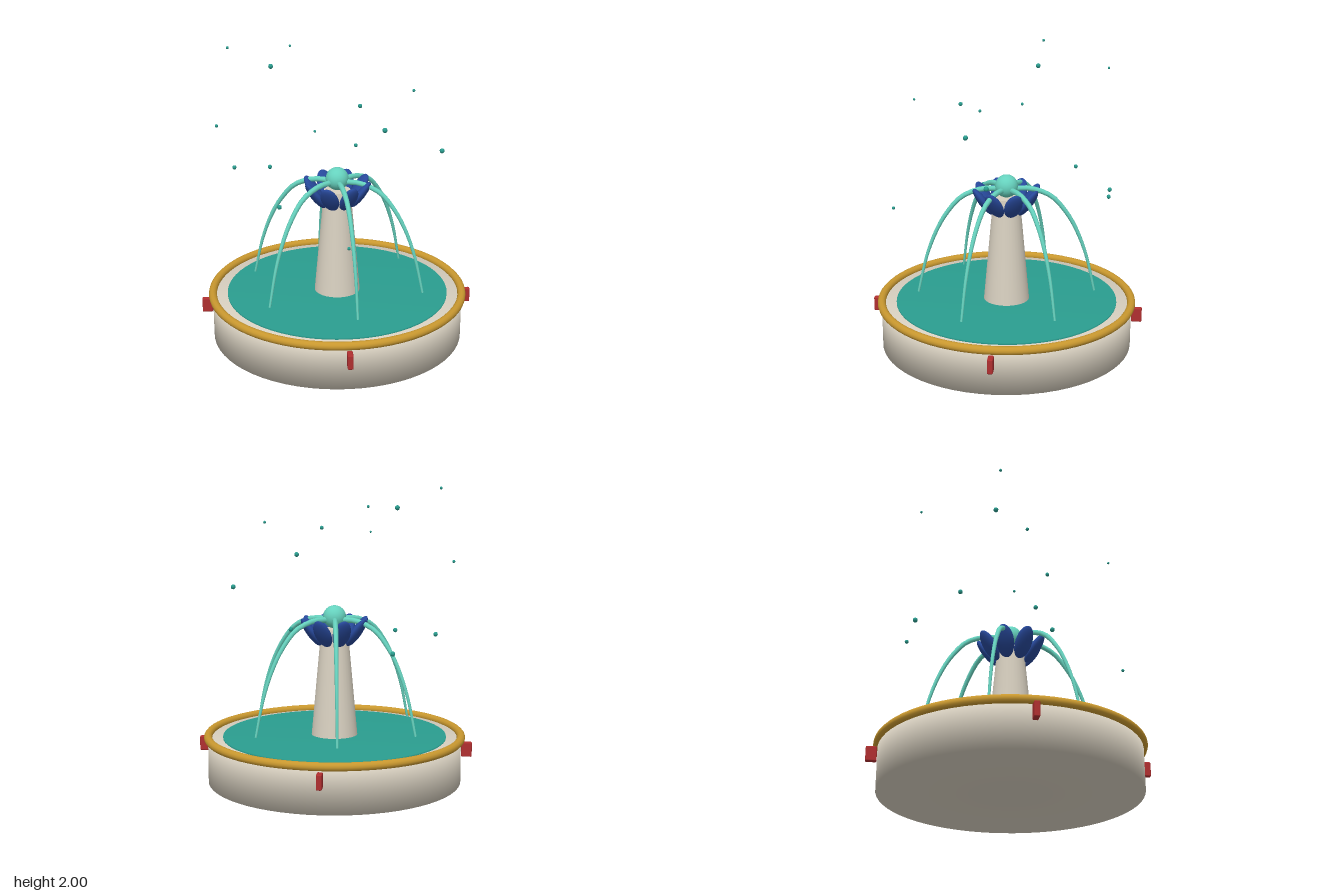
import * as THREE from 'three';
import { RoundedBoxGeometry } from 'three/addons/geometries/RoundedBoxGeometry.js';

const material = (name, color) => {
  const m = new THREE.MeshStandardMaterial({ color });
  m.name = name;
  return m;
};

export function createModel() {
  const stone = material('stone', 0xd8d0c0);
  const gold = material('gold', 0xc9982f);
  const water = material('water', 0x2a9d8f);
  const spray = material('spray', 0x66d2be);
  const blue = material('petal blue', 0x27489a);
  const red = material('red', 0xb02f30);

  const model = new THREE.Group();
  model.name = 'fountain';
  const add = (name, geometry, mat, parent = model) => {
    const mesh = new THREE.Mesh(geometry, mat);
    mesh.name = name;
    parent.add(mesh);
    return mesh;
  };
  const lathe = (points, segments = 64) =>
    new THREE.LatheGeometry(points.map(([x, y]) => new THREE.Vector2(x, y)), segments);
  // A group turned so that its +x points outward at the given angle
  const spoke = (name, angle) => {
    const g = new THREE.Group();
    g.name = name;
    g.rotation.y = -angle;
    model.add(g);
    return g;
  };

  // Basin, softly shaded across its edges
  add('basin', lathe([[0, 0], [0.862, 0], [0.862, 0.3], [0, 0.3]]), stone);
  add('waterSurface', lathe([[0, 0.28], [0.76, 0.28], [0.76, 0.312], [0, 0.312]]), water);
  const rim = add('rim', new THREE.TorusGeometry(0.862, 0.028, 12, 72), gold);
  rim.rotation.x = Math.PI / 2;
  rim.position.y = 0.308;

  // Tapered column and the ball on top
  const column = add('column', new THREE.CylinderGeometry(0.09, 0.158, 0.74, 32), stone);
  column.position.y = 0.67;
  const ball = add('ball', new THREE.SphereGeometry(0.078, 24, 16), spray);
  ball.position.y = 1.12;

  // Ring of eight petals leaning outward
  const petalShape = new THREE.SphereGeometry(1, 20, 14);
  for (let i = 0; i < 8; i++) {
    const petal = add('petal', petalShape, blue, spoke('petalSpoke', (i * Math.PI) / 4));
    petal.scale.set(0.03, 0.113, 0.062);
    petal.rotation.z = -0.61;
    petal.position.set(0.165, 1.022, 0);
  }

  // Six arching jets that thin toward the end
  const arc = new THREE.CatmullRomCurve3([
    [0.03, 1.1], [0.13, 1.105], [0.21, 1.09], [0.31, 1.042], [0.41, 0.926],
    [0.48, 0.8], [0.547, 0.62], [0.608, 0.36],
  ].map(([x, y]) => new THREE.Vector3(x, y, 0)));
  const steps = 20, sides = 8;
  const jetShape = new THREE.TubeGeometry(arc, steps, 1, sides, false);
  const pos = jetShape.attributes.position;
  const v = new THREE.Vector3();
  for (let i = 0; i < pos.count; i++) {
    const t = Math.floor(i / (sides + 1)) / steps;
    const center = arc.getPointAt(t);
    v.fromBufferAttribute(pos, i).sub(center).multiplyScalar(0.02 - 0.012 * t).add(center);
    pos.setXYZ(i, v.x, v.y, v.z);
  }
  const tip = new THREE.CircleGeometry(0.008, sides);
  for (let i = 0; i < 6; i++) {
    const jet = spoke('jet', (i * Math.PI) / 3);
    add('jetArc', jetShape, spray, jet);
    const end = add('jetTip', tip, spray, jet);
    end.position.set(0.608, 0.36, 0);
    end.lookAt(end.position.clone().add(arc.getTangentAt(1)).applyEuler(jet.rotation));
    end.quaternion.setFromUnitVectors(new THREE.Vector3(0, 0, 1), arc.getTangentAt(1));
  }

  // Four red blocks on the basin wall
  const blockShape = new RoundedBoxGeometry(0.072, 0.1, 0.037, 2, 0.008);
  for (let i = 0; i < 4; i++) {
    const block = add('wallBlock', blockShape, red, spoke('blockSpoke', ((i - 0.25) * Math.PI) / 2));
    block.position.set(0.9, 0.226, 0);
  }

  // Floating droplets: x, y, z, radius
  const dropShape = new THREE.SphereGeometry(1, 8, 6);
  [
    [-0.725, 1.988, 0.1, 0.01], [-0.505, 1.885, -0.505, 0.009], [-0.46, 1.86, 0.005, 0.017],
    [0.22, 1.703, 0.22, 0.014], [0.495, 1.748, -0.085, 0.01], [0.07, 1.655, 0.68, 0.008],
    [-0.745, 1.503, 0.28, 0.011], [0.355, 1.52, 0.105, 0.017], [0.665, 1.31, -0.225, 0.017],
    [-0.8, 1.075, -0.135, 0.015], [-0.66, 0.985, -0.468, 0.016], [-0.29, 1.005, 0.345, 0.016],
    [0.3, 0.935, 0.72, 0.011], [-0.08, 1.13, -0.715, 0.014],
  ].forEach(([x, y, z, r]) => {
    const drop = add('droplet', dropShape, water);
    drop.position.set(x, y, z);
    drop.scale.setScalar(r);
  });

  return model;
}
